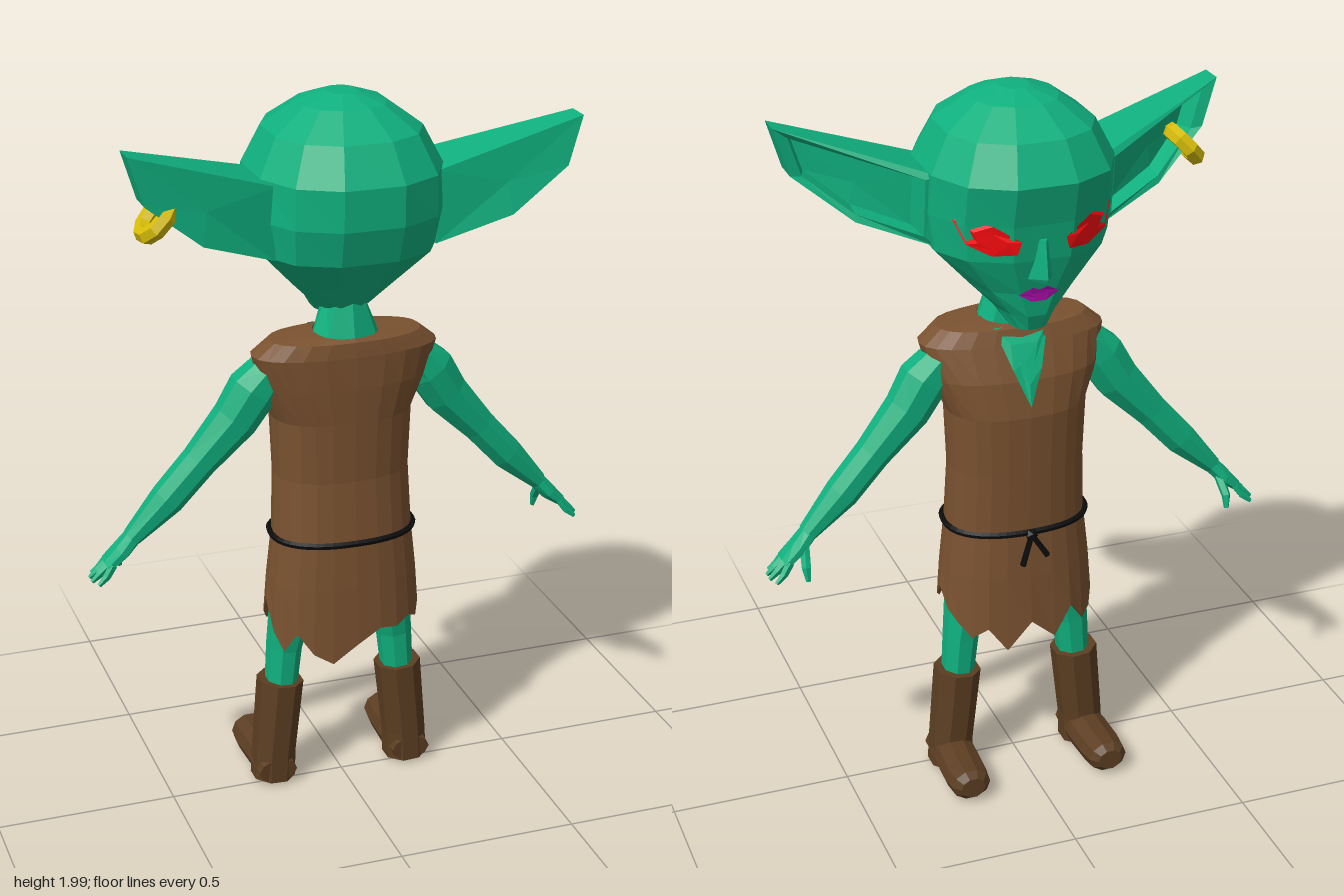
import * as THREE from 'three';
import { ConvexGeometry } from 'three/addons/geometries/ConvexGeometry.js';

const V = (x, y, z) => new THREE.Vector3(x, y, z);
const mat = (color, side = THREE.FrontSide) => new THREE.MeshStandardMaterial({ color, flatShading: true, side });
const skin = mat(0x10b07e);
const cloth = mat(0x7a5230, THREE.DoubleSide);
const leather = mat(0x5c3e22);
const gold = mat(0xd6bc08);
const red = mat(0xff0c10, THREE.DoubleSide);
const purple = mat(0xb510b5, THREE.DoubleSide);
const black = mat(0x0c0c0c);

// Triangles from a flat list of points
function fromPoints(points) {
  const g = new THREE.BufferGeometry().setFromPoints(points);
  g.computeVertexNormals();
  return g;
}

// Skin a series of loops, each with the same number of points
function loft(loops, capStart = true, capEnd = true) {
  const out = [], n = loops[0].length;
  for (let i = 0; i + 1 < loops.length; i++) {
    for (let j = 0; j < n; j++) {
      const k = (j + 1) % n;
      const a = loops[i][j], b = loops[i + 1][j], c = loops[i + 1][k], d = loops[i][k];
      out.push(a, b, c, a, c, d);
    }
  }
  const cap = (loop, flip) => {
    const mid = loop.reduce((s, p) => s.add(p), V(0, 0, 0)).divideScalar(n);
    loop.forEach((p, j) => {
      const q = loop[(j + 1) % n];
      out.push(mid, flip ? q : p, flip ? p : q);
    });
  };
  if (capStart) cap(loops[0], false);
  if (capEnd) cap(loops[loops.length - 1], true);
  return fromPoints(out);
}

// Horizontal rounded ring; exponent below 1 makes it squarer
function ring(y, rx, zBack, zFront, n, offset = 0, e = 0.85) {
  const f = (v) => Math.sign(v) * Math.abs(v) ** e;
  const zc = (zBack + zFront) / 2, rz = (zBack - zFront) / 2;
  return Array.from({ length: n }, (_, j) => {
    const a = ((j + offset) / n) * Math.PI * 2;
    return V(f(Math.cos(a)) * rx, y, zc + f(Math.sin(a)) * rz);
  });
}

// Tapered limb through stations [x, y, z, radius across, radius along ref]
function limb(stations, n = 8, ref = V(0, 0, 1)) {
  const pts = stations.map((s) => V(s[0], s[1], s[2]));
  return loft(stations.map((s, i) => {
    const d = pts[Math.min(i + 1, pts.length - 1)].clone().sub(pts[Math.max(i - 1, 0)]).normalize();
    const e2 = ref.clone().addScaledVector(d, -ref.dot(d)).normalize();
    const e1 = d.clone().cross(e2);
    return Array.from({ length: n }, (_, j) => {
      const a = ((j + 0.5) / n) * Math.PI * 2;
      return pts[i].clone().addScaledVector(e1, Math.cos(a) * s[3]).addScaledVector(e2, Math.sin(a) * (s[4] ?? s[3]));
    });
  }));
}

// Mirror across x, reversing the corner order
function mirrored(g) {
  const p = g.attributes.position, out = [];
  for (let i = 0; i < p.count; i += 3) {
    for (const k of [0, 2, 1]) out.push(V(-p.getX(i + k), p.getY(i + k), p.getZ(i + k)));
  }
  return fromPoints(out);
}

// Thin patch laid on the face side of a mesh, from an [x, y] outline
function patch(target, outline, lift) {
  const ray = new THREE.Raycaster();
  const drop = ([x, y]) => {
    ray.set(V(x, y, -2), V(0, 0, 1));
    const hit = ray.intersectObject(target)[0];
    return V(x, y, (hit ? hit.point.z : 0) - lift);
  };
  const n = outline.length, out = [];
  const mid = [0, 1].map((k) => outline.reduce((s, p) => s + p[k], 0) / n);
  const mix = (p, q, t) => [p[0] + (q[0] - p[0]) * t, p[1] + (q[1] - p[1]) * t];
  outline.forEach((p, i) => {
    const q = outline[(i + 1) % n];
    const c = drop(mid), a = drop(mix(mid, p, 0.5)), b = drop(mix(mid, q, 0.5));
    const A = drop(p), B = drop(q);
    out.push(c, a, b, a, A, B, a, B, b);
  });
  return fromPoints(out);
}

export function createModel() {
  const model = new THREE.Group();
  const add = (name, geometry, material) => {
    const m = new THREE.Mesh(geometry, material);
    m.name = name;
    model.add(m);
    return m;
  };
  const pair = (name, geometry, material) => {
    add(name + 'Left', geometry, material);
    add(name + 'Right', mirrored(geometry), material);
  };

  // Head: large skull tapering to a pointed chin
  const head = add('head', loft([
    [1.385, 0.05, -0.04, -0.165], [1.43, 0.08, 0.08, -0.185], [1.5, 0.15, 0.14, -0.195],
    [1.6, 0.245, 0.235, -0.225], [1.7, 0.258, 0.268, -0.24], [1.81, 0.256, 0.272, -0.268],
    [1.91, 0.205, 0.215, -0.215], [1.975, 0.115, 0.12, -0.12], [2, 0.04, 0.05, -0.05],
  ].map((r) => ring(...r, 12, 0.5))), skin);
  add('neck', loft([ring(1.28, 0.12, 0.1, -0.07, 8), ring(1.355, 0.09, 0.11, -0.05, 8),
    ring(1.46, 0.05, 0.09, -0.05, 8)]), skin);

  // Face
  add('nose', new ConvexGeometry([V(0, 1.66, -0.245), V(0, 1.56, -0.262), V(0, 1.545, -0.25),
    V(0.035, 1.545, -0.2), V(-0.035, 1.545, -0.2), V(0.015, 1.66, -0.22), V(-0.015, 1.66, -0.22)]), skin);
  pair('eye', patch(head, [[0.215, 1.71], [0.13, 1.705], [0.06, 1.66], [0.07, 1.625], [0.13, 1.62], [0.19, 1.65]], 0.006), red);
  add('mouth', patch(head, [[0.055, 1.5], [0.02, 1.52], [0, 1.512], [-0.02, 1.52], [-0.055, 1.5], [-0.02, 1.478], [0.02, 1.478]], 0.008), purple);

  // Ears: cupped, open towards the face
  const rim = [V(0.22, 1.6, -0.05), V(0.42, 1.67, 0.02), V(0.57, 1.79, 0.085), V(0.61, 1.92, 0.09), V(0.22, 1.8, -0.07)];
  const depth = [0.17, 0.14, 0.08, 0.07, 0.2];
  const centre = V(0.41, 1.765, 0.01);
  const shrink = (t, dz) => rim.map((p) => V(
    centre.x + (p.x - centre.x) * t, centre.y + (p.y - centre.y) * t, p.z + dz));
  pair('ear', loft([rim.map((p, i) => V(p.x, p.y, p.z + depth[i])), rim, shrink(0.8, 0.005), shrink(0.7, 0.06)]), skin);

  // Hoop through the right ear
  const hoop = add('earring', new THREE.TorusGeometry(0.052, 0.024, 6, 9), gold);
  hoop.position.set(-0.525, 1.74, 0.105);
  hoop.quaternion.setFromUnitVectors(V(0, 0, 1), V(0.74, -0.67, 0).normalize());

  // Tunic with a ragged hem, notched at both sides
  const hemY = [0.58, 0.53, 0.5, 0.52, 0.5, 0.51, 0.47, 0.42, 0.45, 0.51, 0.45, 0.5,
    0.58, 0.52, 0.48, 0.46, 0.52, 0.44, 0.5, 0.42, 0.49, 0.46, 0.5, 0.53];
  const hem = ring(0, 0.218, 0.14, -0.155, 24);
  hem.forEach((p, j) => { p.y = hemY[j]; });
  const tunic = add('tunic', loft([hem, ...[
    [0.64, 0.21, 0.135, -0.145], [0.78, 0.195, 0.128, -0.135], [0.95, 0.188, 0.115, -0.14],
    [1.12, 0.195, 0.12, -0.145], [1.22, 0.235, 0.125, -0.125], [1.31, 0.258, 0.125, -0.085],
    [1.35, 0.21, 0.12, -0.07], [1.36, 0.085, 0.112, -0.055],
  ].map((r) => ring(...r, 24))], false, false), cloth);
  add('neckOpening', patch(tunic, [[-0.075, 1.355], [0.075, 1.355], [0.04, 1.25], [0, 1.15], [-0.04, 1.25]], 0.006), mat(0x10b07e, THREE.DoubleSide));

  // Cord belt with a knot and two hanging ends
  const loop = new THREE.CatmullRomCurve3(ring(0.775, 0.2, 0.132, -0.14, 24), true);
  add('belt', new THREE.TubeGeometry(loop, 48, 0.009, 5, true), black);
  add('beltKnot', new THREE.IcosahedronGeometry(0.018, 0).translate(0, 0.77, -0.148), black);
  for (const [x, y] of [[-0.045, 0.7], [0.025, 0.68]]) {
    add('beltEnd', limb([[x, y, -0.15, 0.009], [0, 0.77, -0.15, 0.008]], 5), black);
  }

  // Arms, hands and fingers
  pair('arm', limb([[0.2, 1.27, 0.005, 0.05, 0.06], [0.25, 1.21, 0.005, 0.07, 0.065], [0.3, 1.13, 0, 0.065, 0.058],
    [0.4, 1.02, -0.005, 0.05, 0.048], [0.49, 0.92, -0.01, 0.048, 0.045], [0.59, 0.82, -0.015, 0.026, 0.032]]), skin);
  pair('hand', limb([[0.58, 0.83, -0.015, 0.024, 0.03], [0.62, 0.785, -0.018, 0.024, 0.042], [0.66, 0.75, -0.02, 0.016, 0.042]]), skin);
  for (let i = 0; i < 4; i++) {
    const z = 0.012 - i * 0.021, tip = 0.022 - i * 0.029, reach = i % 3 ? 0 : -0.012;
    pair('finger', limb([[0.65, 0.757, z, 0.012], [0.682 + reach, 0.728, (z + tip) / 2, 0.011], [0.705 + reach, 0.708, tip, 0.006]], 5), skin);
  }
  pair('thumb', limb([[0.605, 0.79, -0.035, 0.014], [0.612, 0.745, -0.075, 0.013], [0.61, 0.71, -0.085, 0.007]], 5), skin);

  // Hips and legs
  add('hips', loft([ring(0.6, 0.12, 0.06, -0.09, 10), ring(0.75, 0.17, 0.09, -0.1, 10)]), skin);
  pair('leg', limb([[0.175, 0.28, -0.02, 0.045, 0.05], [0.163, 0.42, -0.02, 0.05, 0.055],
    [0.145, 0.53, -0.015, 0.06, 0.07], [0.1, 0.7, -0.01, 0.065, 0.075]]), skin);

  // Boots: straight shaft with a rounded foot pointing forward
  pair('bootShaft', limb([[0.2, 0.015, -0.022, 0.063, 0.066], [0.196, 0.1, -0.022, 0.062, 0.066], [0.175, 0.318, -0.022, 0.066, 0.07]]), leather);
  pair('bootFoot', limb([[0.2, 0.05, 0.035, 0.038, 0.055], [0.2, 0.057, -0.08, 0.054, 0.062], [0.204, 0.055, -0.17, 0.049, 0.062],
    [0.205, 0.055, -0.225, 0.046, 0.055], [0.205, 0.055, -0.245, 0.03, 0.035]], 10, V(1, 0, 0)), leather);

  return model;
}
